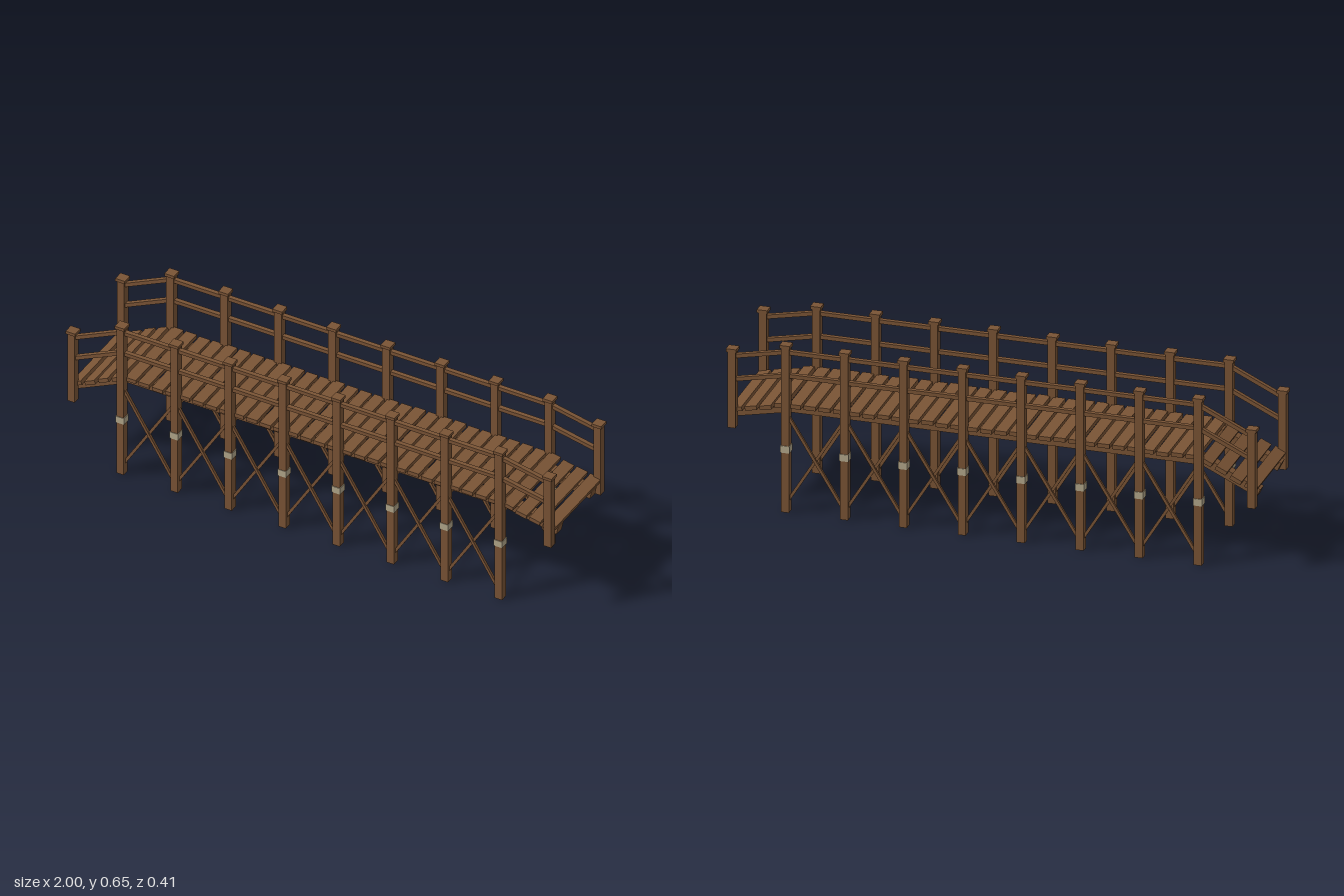
import * as THREE from 'three';

export function createModel() {
  const model = new THREE.Group();
  model.name = 'woodenFootbridge';
  const wood = new THREE.MeshStandardMaterial({ color: 0x7a5435 });
  wood.name = 'brown wood';
  const rope = new THREE.MeshStandardMaterial({ color: 0xb3a78b });
  rope.name = 'pale rope';

  const POST_Z = 0.183, BAY = 0.2223, FIRST = -0.778, END = 0.98;
  const LEFT_SLOPE = 0.475, RIGHT_SLOPE = 0.205;
  // How far the deck has dropped at a given x
  const drop = (x) =>
    x < FIRST ? (FIRST - x) * LEFT_SLOPE : x > -FIRST ? (x + FIRST) * RIGHT_SLOPE : 0;

  let seed = 7;
  const jitter = (amount) => {
    seed = (seed * 16807) % 2147483647;
    return (seed / 2147483647 - 0.5) * 2 * amount;
  };

  function box(name, w, h, d, x, y, z, material = wood) {
    const mesh = new THREE.Mesh(new THREE.BoxGeometry(w, h, d), material);
    mesh.name = name;
    mesh.position.set(x, y, z);
    model.add(mesh);
    return mesh;
  }

  // Straight timber between two points in a plane of constant z
  function bar(name, x1, y1, x2, y2, z, h, d) {
    const mesh = box(name, Math.hypot(x2 - x1, y2 - y1), h, d, (x1 + x2) / 2, (y1 + y2) / 2, z);
    mesh.rotation.z = Math.atan2(y2 - y1, x2 - x1);
  }

  // Timber that follows the deck: left ramp, level span, right ramp
  function followDeck(name, y, z, h, d, end) {
    const xs = [-end, FIRST, -FIRST, end];
    for (let i = 0; i < 3; i++) {
      bar(name, xs[i], y - drop(xs[i]), xs[i + 1], y - drop(xs[i + 1]), z, h, d);
    }
  }

  function post(name, x, bottom, top, z) {
    box(name, 0.03, top - 0.012 - bottom, 0.03, x, (top - 0.012 + bottom) / 2, z);
    box(name + 'Cap', 0.039, 0.012, 0.039, x, top - 0.006, z);
  }

  for (const side of [1, -1]) {
    const z = side * POST_Z;
    // Tall posts with rope lashings
    for (let i = 0; i < 8; i++) {
      const x = FIRST + i * BAY;
      post('post', x, 0, 0.655, z);
      box('lashing', 0.035, 0.027, 0.035, x, 0.245 + jitter(0.005), z, rope);
      // Crossed braces in each bay
      if (i < 7) {
        bar('brace', x, 0.39, x + BAY, 0.03, z + 0.003, 0.011, 0.011);
        bar('brace', x, 0.03, x + BAY, 0.39, z - 0.003, 0.011, 0.011);
      }
    }
    // Short posts at the ramp ends
    post('leftEndPost', END, 0.305, 0.615, z);
    post('rightEndPost', -END, 0.25, 0.56, z);

    // Handrails and the stringers under the deck
    followDeck('topRail', 0.624, z, 0.015, 0.017, END);
    followDeck('middleRail', 0.533, z, 0.015, 0.017, END);
    followDeck('stringer', 0.388, side * 0.123, 0.035, 0.039, 0.99);
  }

  // Deck planks, four to a bay, slightly uneven
  const PITCH = BAY / 4;
  for (let i = -18; i < 18; i++) {
    const x = (i + 0.5) * PITCH * 0.997;
    const plank = box('plank', 0.045, 0.016, 0.352, x, 0.41 - drop(x) + jitter(0.003), 0);
    plank.rotation.z = x < FIRST ? Math.atan(LEFT_SLOPE) : x > -FIRST ? -Math.atan(RIGHT_SLOPE) : 0;
  }

  return model;
}
